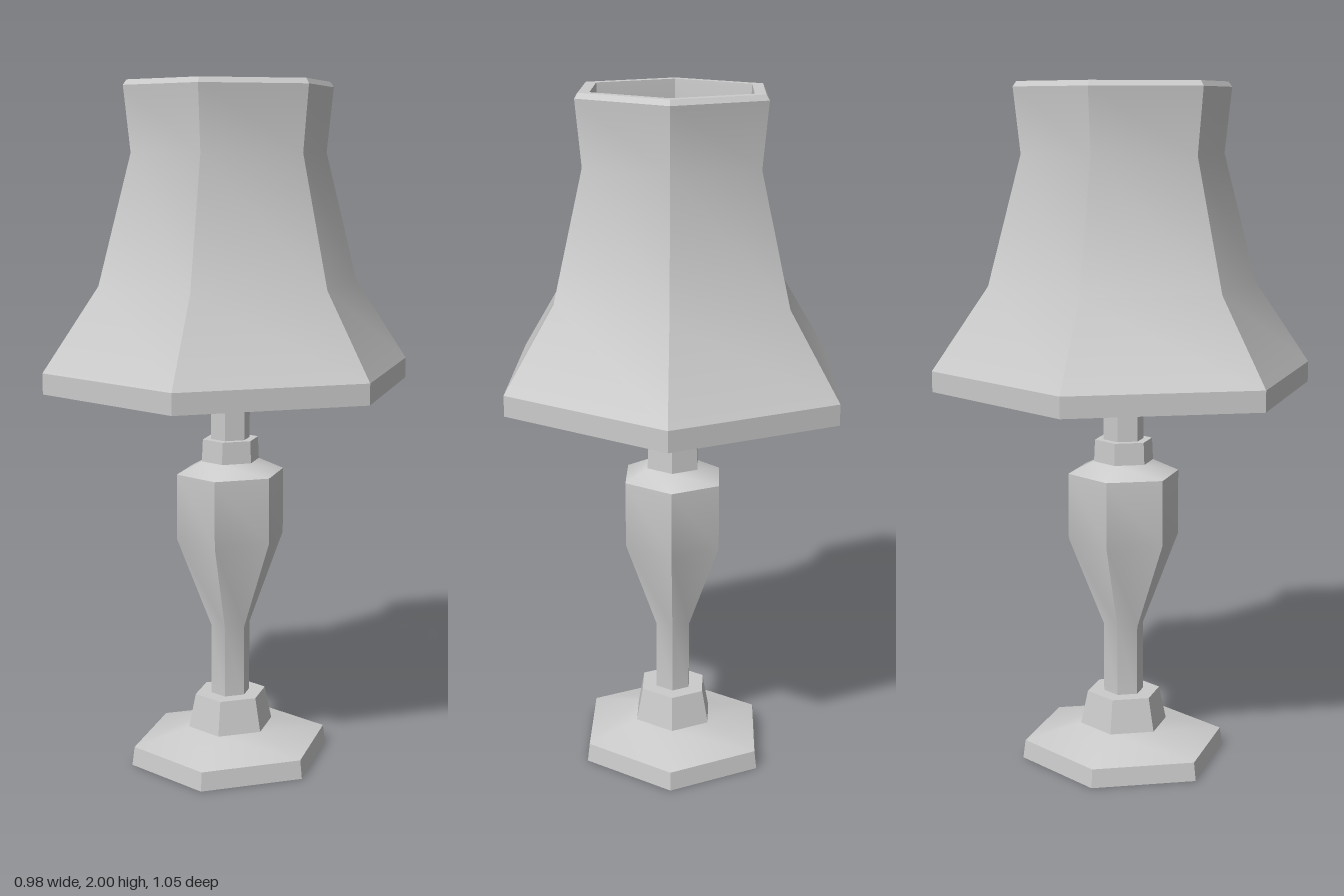
import * as THREE from 'three';
import { toCreasedNormals } from 'three/addons/utils/BufferGeometryUtils.js';

const STRETCH_X = 1.08; // the hexagons are slightly wider than regular
const CREASE = 0.5;

export function createModel() {
  const lamp = new THREE.Group();
  lamp.name = 'tableLamp';
  const material = new THREE.MeshStandardMaterial({ color: 0xcccccc });

  // Six-sided turned part; profile is [radius, height] from bottom to top
  function hexPart(name, profile) {
    const points = profile.map(([r, y]) => new THREE.Vector2(r, y));
    const geometry = new THREE.LatheGeometry(points, 6);
    geometry.scale(STRETCH_X, 1, 1);
    const mesh = new THREE.Mesh(toCreasedNormals(geometry, CREASE), material);
    mesh.name = name;
    lamp.add(mesh);
  }

  // Foot with a sloping top and a small raised collar
  hexPart('foot', [
    [0, 0], [0.29, 0], [0.283, 0.055], [0.123, 0.1], [0.103, 0.2], [0, 0.2],
  ]);

  // Slim stem swelling into a vase-shaped body, with a neck above it
  hexPart('stemAndBody', [
    [0, 0.19], [0.056, 0.19], [0.056, 0.41], [0.155, 0.68], [0.155, 0.875],
    [0.083, 0.91], [0.08, 0.975], [0.056, 0.975], [0.056, 1.16], [0, 1.16],
  ]);

  // Bulb socket tapering to a blunt top
  hexPart('socket', [
    [0, 1.15], [0.063, 1.15], [0.085, 1.18], [0.102, 1.22],
    [0.102, 1.25], [0.085, 1.27], [0.05, 1.4], [0, 1.4],
  ]);

  // Thin-walled shade: up the outside, over the rim, down the inside
  hexPart('shade', [
    [0.523, 1.13], [0.523, 1.19], [0.368, 1.43], [0.276, 1.8], [0.295, 1.985],
    [0.285, 2], [0.25, 2], [0.238, 1.8], [0.335, 1.43], [0.495, 1.19], [0.515, 1.13],
    [0.523, 1.13],
  ]);

  // Two sloping arms hold the shade on the socket
  const inner = new THREE.Vector2(0.06, 1.22);
  const outer = new THREE.Vector2(0.325, 1.42);
  const span = outer.clone().sub(inner);
  for (const side of [1, -1]) {
    const arm = new THREE.Mesh(new THREE.BoxGeometry(span.length(), 0.035, 0.034), material);
    arm.name = side > 0 ? 'leftShadeArm' : 'rightShadeArm';
    arm.position.set(side * (inner.x + outer.x) / 2, (inner.y + outer.y) / 2, 0);
    arm.rotation.z = side * span.angle();
    lamp.add(arm);
  }

  return lamp;
}
